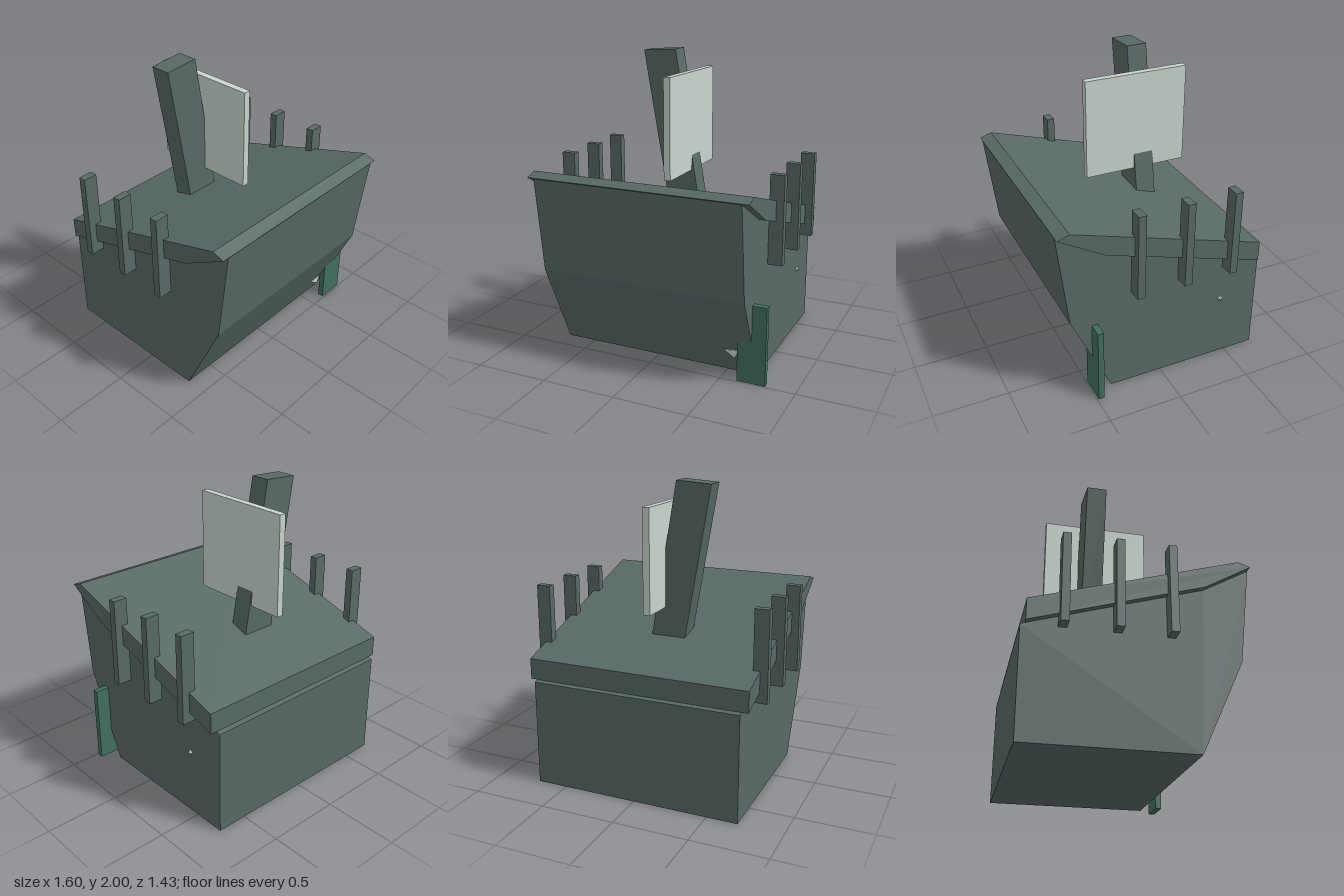
import * as THREE from 'three';

const paint = (name, color) => {
  const m = new THREE.MeshStandardMaterial({ color });
  m.name = name;
  return m;
};

export function createModel() {
  const model = new THREE.Group();
  model.name = 'boat';
  const slate = paint('slate', 0x586a65);
  const pale = paint('paleGrey', 0xc9d5cf);
  const green = paint('green', 0x407060);

  const add = (name, geometry, material) => {
    const mesh = new THREE.Mesh(geometry, material);
    mesh.name = name;
    model.add(mesh);
    return mesh;
  };
  const box = (name, material, [x0, x1], [y0, y1], [z0, z1]) =>
    add(name, new THREE.BoxGeometry(x1 - x0, y1 - y0, z1 - z0), material)
      .position.set((x0 + x1) / 2, (y0 + y1) / 2, (z0 + z1) / 2);
  const extrude = (points, depth) => new THREE.ExtrudeGeometry(
    new THREE.Shape(points.map(([a, b]) => new THREE.Vector2(a, b))),
    { depth, bevelEnabled: false }).translate(0, 0, -depth / 2);
  // Side profile given as [z, y], swept across the width
  const sweep = (points, width) => extrude(points, width).rotateY(-Math.PI / 2);

  // Hull with a raked bow
  add('hull', sweep([[0.36, 0], [0.635, 0.595], [0.713, 1.234], [0.41, 1.06],
    [-0.713, 0.708], [-0.713, 0]], 1.41), slate);

  // Sloping deck slab, slightly wider than the hull
  add('deck', sweep([[0.715, 1.238], [0.635, 1.265], [-0.685, 0.855],
    [-0.685, 0.717], [0.41, 1.06]], 1.5), slate);

  // Three railing posts on each side
  for (const side of [-1, 1])
    for (const z of [0.195, -0.135, -0.465])
      box('railPost', slate, side < 0 ? [-0.8, -0.705] : [0.705, 0.8],
        [0.71, 1.3], [z - 0.026, z + 0.026]);

  // Leaning mast, sunk into the deck
  add('mast', extrude([[-0.335, 1.985], [-0.155, 0.95], [0.079, 0.95], [-0.1, 2]], 0.135),
    slate).position.z = -0.193;

  // Flat sail
  box('sail', pale, [-0.025, 0.022], [1.18, 1.855], [-0.495, 0.22]);

  // Board fixed to the bow corner
  box('rudder', green, [0.61, 0.8], [0, 0.53], [0.45, 0.49]);

  // Small spikes poking out of the bow and the left side
  const frontSpike = add('bowSpike', extrude([[0.505, 0.178], [0.58, 0.13], [0.605, 0.19]], 0.05), pale);
  frontSpike.position.z = 0.425;
  const sideSpike = add('sideSpike', new THREE.ConeGeometry(0.028, 0.03, 4), pale);
  sideSpike.rotation.z = -Math.PI / 2;
  sideSpike.position.set(0.712, 0.45, -0.44);

  return model;
}
